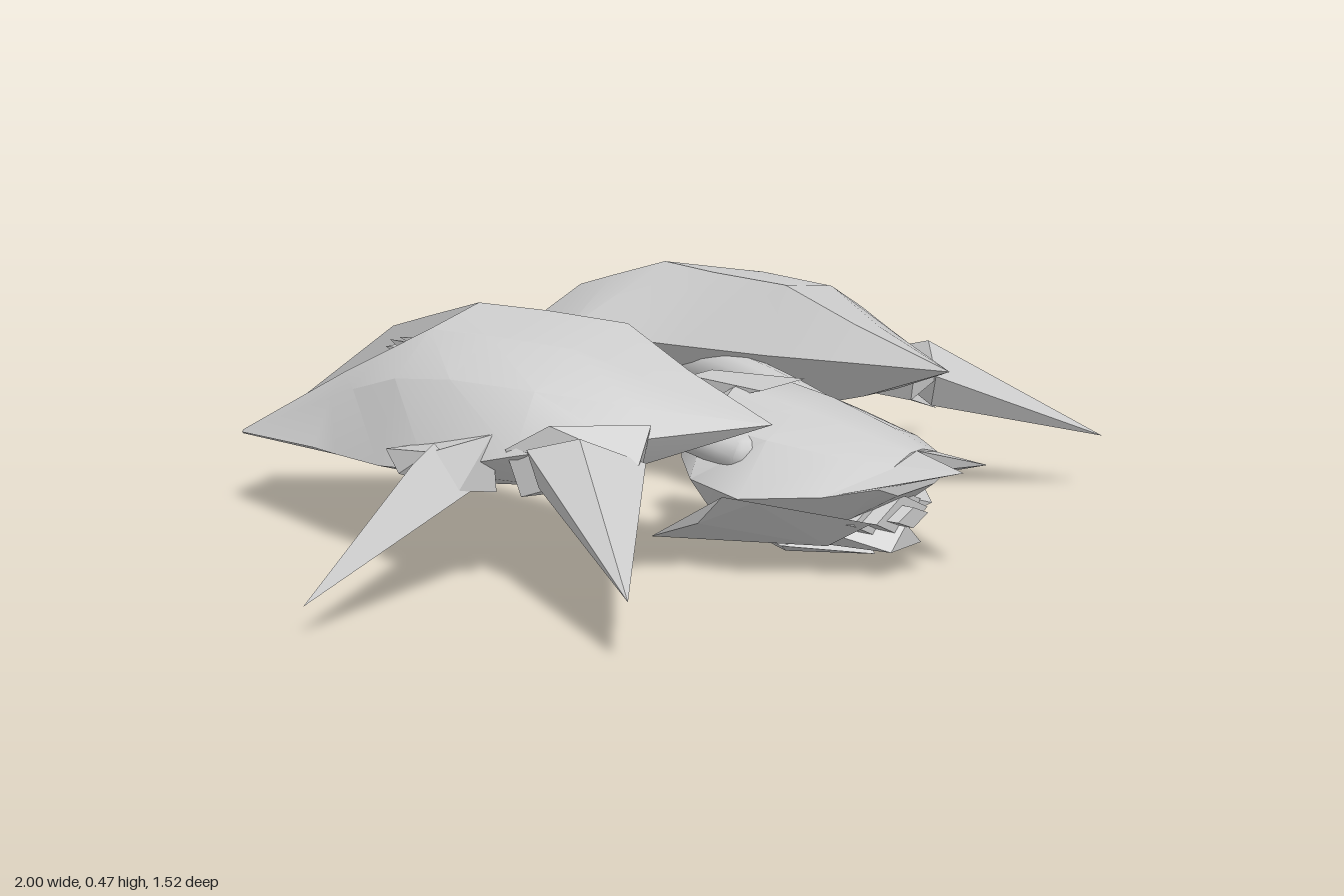
import * as THREE from 'three';
import { toCreasedNormals } from 'three/addons/utils/BufferGeometryUtils.js';
import { ConvexGeometry } from 'three/addons/geometries/ConvexGeometry.js';

const grey = new THREE.MeshStandardMaterial({ color: 0xcccccc });

function part(parent, name, geo, crease = 0.5) {
  const mesh = new THREE.Mesh(toCreasedNormals(geo, crease), grey);
  mesh.name = name;
  parent.add(mesh);
}

// Skin between rings of [x, y, z], given from front to back, each clockwise seen from the front
function loft(rings) {
  const n = rings[0].length, index = [];
  rings.slice(1).forEach((_, k) => {
    for (let i = 0; i < n; i++) {
      const a = k * n + i, b = k * n + (i + 1) % n;
      index.push(a, b, a + n, b, b + n, a + n);
    }
  });
  const last = (rings.length - 1) * n;
  for (let i = 1; i < n - 1; i++) {
    index.push(0, i + 1, i, last, last + i, last + i + 1);
  }
  const geo = new THREE.BufferGeometry();
  geo.setAttribute('position', new THREE.Float32BufferAttribute(rings.flat(2), 3));
  geo.setIndex(index);
  return geo;
}

const hull = (...pts) => new ConvexGeometry(pts.map(p => new THREE.Vector3(...p)));

// Mirror in x and turn the faces back outwards
function mirror(geo) {
  const g = (geo.index ? geo.toNonIndexed() : geo.clone()).scale(-1, 1, 1);
  const p = g.attributes.position;
  for (let i = 0; i < p.count; i += 3) {
    const b = [p.getX(i + 1), p.getY(i + 1), p.getZ(i + 1)];
    p.setXYZ(i + 1, p.getX(i + 2), p.getY(i + 2), p.getZ(i + 2));
    p.setXYZ(i + 2, ...b);
  }
  return g;
}

function both(parent, name, geo, crease) {
  part(parent, name + 'Left', geo, crease);
  part(parent, name + 'Right', mirror(geo), crease);
}

// Pod ring: inner edge, ridge, trough floor, outer rim, flank, outer edge, belly
function podRing(z, I, R, S, M, O, BO, BI, floor) {
  const mix = t => [R[0] + (S[0] - R[0]) * t, floor ?? R[1] + (S[1] - R[1]) * t];
  return [I, R, mix(0.03), mix(0.97), S, M, O, BO, BI].map(([x, y]) => [x, y, z]);
}

function podGeometry() {
  const tip = [0.29, 0.33];
  const rim = [-0.2, [0.14, 0.33], [0.29, 0.47], [0.43, 0.44], [0.53, 0.36], [0.58, 0.2], [0.44, 0.155], [0.3, 0.155]];
  const rings = [
    podRing(0.51, tip, tip, tip, tip, tip, tip, tip),
    podRing(0.3, [0.235, 0.33], [0.27, 0.4], [0.35, 0.385], [0.42, 0.355], [0.47, 0.3], [0.42, 0.245], [0.3, 0.25]),
    podRing(0.14, [0.19, 0.33], [0.25, 0.465], [0.41, 0.44], [0.52, 0.38], [0.58, 0.27], [0.5, 0.2], [0.29, 0.205]),
    podRing(-0.05, [0.16, 0.33], [0.26, 0.468], [0.43, 0.445], [0.54, 0.38], [0.61, 0.22], [0.5, 0.175], [0.29, 0.175]),
    podRing(...rim),
    podRing(...rim, 0.2),
    podRing(-0.34, [0.13, 0.33], [0.29, 0.425], [0.43, 0.37], [0.5, 0.315], [0.55, 0.195], [0.44, 0.156], [0.3, 0.156], 0.19),
    podRing(-0.43, [0.165, 0.295], [0.29, 0.395], [0.43, 0.325], [0.47, 0.28], [0.522, 0.19], [0.44, 0.157], [0.3, 0.157], 0.185),
    podRing(-0.76, [0.285, 0.16], [0.29, 0.166], [0.43, 0.166], [0.432, 0.164], [0.435, 0.162], [0.43, 0.158], [0.3, 0.158], 0.162),
  ];
  // The rear end is cut at a slant
  for (const p of rings.at(-1)) p[2] += (p[0] - 0.285) * 0.27;
  return loft(rings);
}

// Head ring: right half from crest to keel, then mirrored, kept clockwise
function headRing(z, crestW, top, shoulderW, shoulderY, w, edge, lowW, low) {
  const half = [[crestW, top], [shoulderW, shoulderY], [w, edge], [lowW, low]];
  return [...half, ...half.map(([x, y]) => [-x, y]).reverse()].map(([x, y]) => [x, y, z]);
}

export function createModel() {
  const model = new THREE.Group();
  model.name = 'model';

  // Twin pods with open troughs at the rear
  const pods = new THREE.Group();
  pods.name = 'pods';
  model.add(pods);
  both(pods, 'pod', podGeometry(), 0.55);

  // Thruster hanging in each trough
  const cone = new THREE.ConeGeometry(0.05, 0.17, 6).rotateX(-Math.PI / 2).translate(0.36, 0.37, -0.3);
  both(pods, 'thruster', cone, 0.1);
  for (const x of [0.315, 0.405]) {
    both(pods, x < 0.36 ? 'thrusterInnerFin' : 'thrusterOuterFin', hull([x - 0.01, 0.4, -0.2], [x + 0.01, 0.4, -0.2],
      [x, 0.32, -0.2], [0.36 + (x - 0.36) * 0.3, 0.39, -0.36]), 0.1);
  }

  // Spikes and the brackets that carry them
  const spikes = new THREE.Group();
  spikes.name = 'spikes';
  model.add(spikes);
  both(spikes, 'sideSpike', hull([0.6, 0.2, 0.06], [0.64, 0.285, 0], [0.7, 0.255, 0],
    [0.6, 0.21, -0.07], [0.66, 0.195, 0.03], [1, 0.06, 0.015]), 0.1);
  both(spikes, 'sideBracket', hull([0.57, 0.3, 0.08], [0.56, 0.19, 0.08], [0.63, 0.2, 0.05], [0.65, 0.27, 0],
    [0.63, 0.21, -0.1], [0.59, 0.24, -0.17], [0.53, 0.18, -0.15]), 0.1);
  both(spikes, 'frontSpike', hull([0.59, 0.29, 0.18], [0.58, 0.22, 0.2], [0.56, 0.32, 0.28],
    [0.47, 0.27, 0.36], [0.5, 0.2, 0.33], [0.78, 0.12, 0.57]), 0.1);
  both(spikes, 'frontBracket', hull([0.58, 0.28, 0.12], [0.55, 0.33, 0.2], [0.43, 0.33, 0.34],
    [0.49, 0.27, 0.36], [0.44, 0.22, 0.32], [0.56, 0.19, 0.14]), 0.1);

  // Rounded arms from the pods to the head
  const arms = new THREE.Group();
  arms.name = 'arms';
  model.add(arms);
  const path = new THREE.CatmullRomCurve3([[0.25, 0.28, -0.1], [0.2, 0.28, 0.06], [0.17, 0.26, 0.2], [0.15, 0.225, 0.34]]
    .map(p => new THREE.Vector3(...p)));
  both(arms, 'arm', new THREE.TubeGeometry(path, 12, 0.042, 12), 0.8);
  both(arms, 'armEnd', new THREE.SphereGeometry(0.042, 12, 8).translate(0.15, 0.225, 0.34), 0.8);

  // Head shell
  const head = new THREE.Group();
  head.name = 'head';
  model.add(head);
  part(head, 'shell', loft([
    headRing(0.63, 0.02, 0.245, 0.07, 0.23, 0.125, 0.195, 0.06, 0.17),
    headRing(0.55, 0.04, 0.27, 0.12, 0.24, 0.19, 0.18, 0.11, 0.12),
    headRing(0.4, 0.055, 0.305, 0.16, 0.26, 0.25, 0.165, 0.15, 0.08),
    headRing(0.25, 0.065, 0.325, 0.15, 0.27, 0.2, 0.17, 0.12, 0.08),
    headRing(0.15, 0.05, 0.27, 0.08, 0.24, 0.1, 0.18, 0.06, 0.12),
  ]), 0.6);
  part(head, 'crest', hull([0.035, 0.325, 0.12], [-0.035, 0.325, 0.12], [0.07, 0.328, 0.32], [-0.07, 0.328, 0.32],
    [0.035, 0.27, 0.12], [-0.035, 0.27, 0.12], [0.02, 0.31, 0.25], [-0.02, 0.31, 0.25]), 0.1);

  // Pointed brow prongs either side of a notch
  both(head, 'browProng', hull([0, 0.245, 0.63], [0.07, 0.23, 0.62], [0.19, 0.18, 0.55], [0.06, 0.18, 0.6],
    [0.005, 0.2, 0.62], [0.04, 0.23, 0.76]), 0.1);
  // Swept cheek plates and rear barbs
  both(head, 'cheek', hull([0.1, 0.12, 0.6], [0.25, 0.165, 0.44], [0.27, 0.17, 0.38], [0.24, 0.1, 0.3],
    [0.1, 0.06, 0.5], [0.18, 0.035, 0.14], [0.12, 0.12, 0.3]), 0.1);
  both(head, 'barb', hull([0.05, 0.25, 0.24], [0.12, 0.24, 0.24], [0.1, 0.16, 0.22], [0.04, 0.16, 0.22], [0.085, 0.21, 0.12]), 0.1);

  // Muzzle of nested diamond plates
  [[0.12, 0.055, 0.57], [0.085, 0.04, 0.6], [0.05, 0.02, 0.625]].forEach(([w, h, z], i) => {
    const y = 0.115;
    part(head, 'muzzlePlate' + (i + 1), hull([w, y, z], [-w, y, z], [0, y + h, z], [0, y - h, z],
      [w * 1.3, y, 0.4], [-w * 1.3, y, 0.4], [0, y + h, 0.4], [0, y - h, 0.4]), 0.1);
  });
  part(head, 'jaw', hull([0.05, 0.055, 0.61], [-0.05, 0.055, 0.61], [0.11, 0.09, 0.5], [-0.11, 0.09, 0.5],
    [0.13, 0.06, 0.3], [-0.13, 0.06, 0.3], [0, 0.1, 0.61]), 0.1);
  part(head, 'keel', hull([0, 0.03, 0.54], [0.11, 0.045, 0.4], [-0.11, 0.045, 0.4], [0, 0, 0.33],
    [0.07, 0.07, 0.2], [-0.07, 0.07, 0.2], [0, 0.08, 0.5]), 0.1);

  return model;
}
